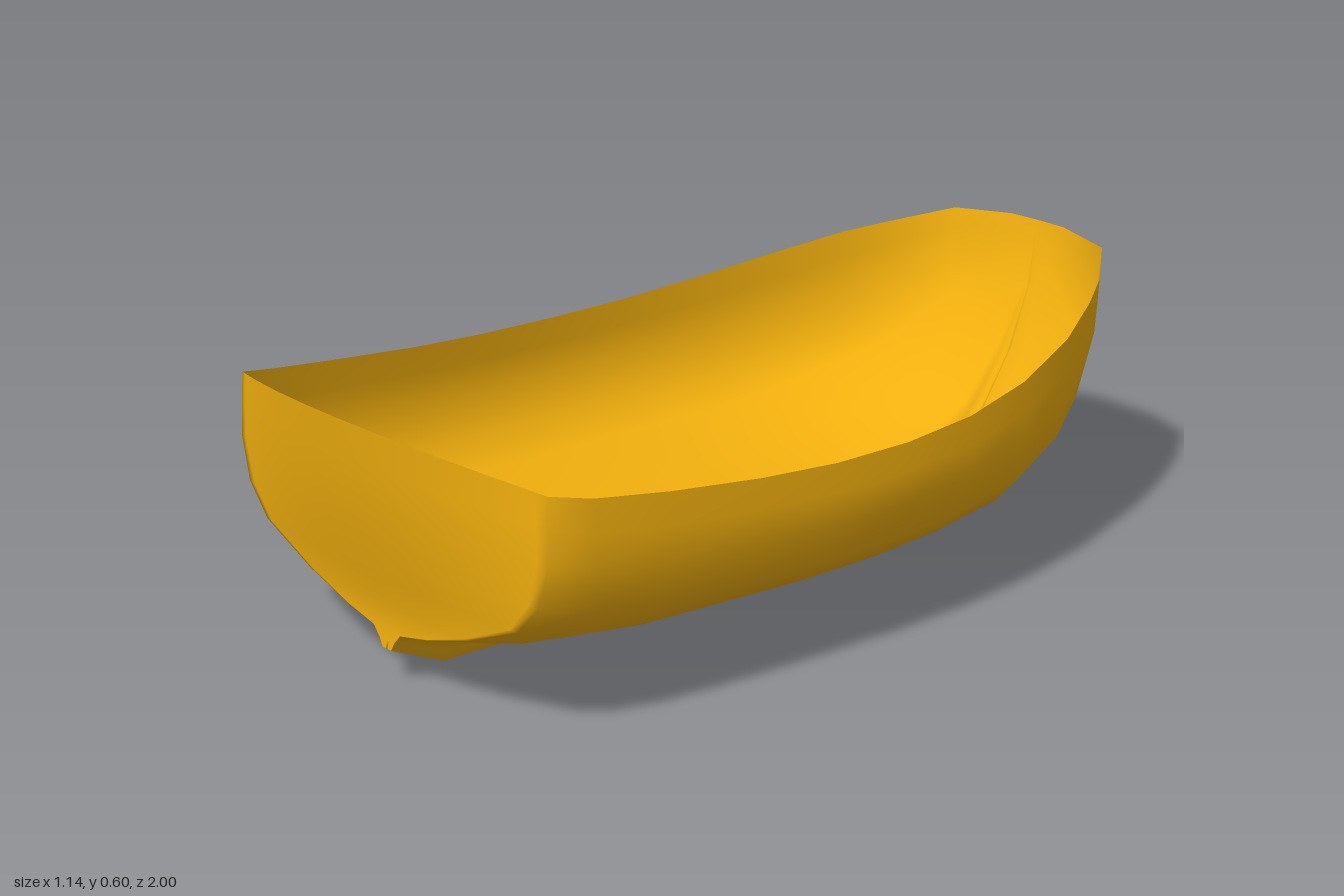
import * as THREE from 'three';
import { mergeVertices } from 'three/addons/utils/BufferGeometryUtils.js';

// Stations, stern to bow: rim z, half beam, rim y, keel z, keel y, keel depth
const STATIONS = [
  [0.89, 0.495, 0.54, 0.91, 0.08, 0.04],
  [0.80, 0.52, 0.52, 0.78, 0.02, 0.06],
  [0.62, 0.54, 0.495, 0.62, 0.015, 0.05],
  [0.40, 0.555, 0.47, 0.40, 0.02, 0.045],
  [0.20, 0.565, 0.455, 0.20, 0.025, 0.035],
  [0.00, 0.565, 0.45, 0.00, 0.022, 0.035],
  [-0.20, 0.55, 0.455, -0.20, 0.015, 0.04],
  [-0.40, 0.515, 0.475, -0.43, 0.003, 0.055],
  [-0.60, 0.455, 0.51, -0.60, 0.04, 0.055],
  [-0.75, 0.385, 0.545, -0.72, 0.10, 0.045],
  [-0.85, 0.325, 0.565, -0.80, 0.16, 0.04],
  [-0.965, 0.23, 0.595, -0.90, 0.30, 0.03],
  [-1.00, 0.08, 0.605, -0.97, 0.45, 0.015],
  [-1.00, 0.00, 0.606, -1.00, 0.605, 0.00],
];

// Half section, rim down to keel: fraction of half beam, fraction of hull height
const HULL = [[1, 1], [1.007, 0.84], [1.01, 0.67], [0.955, 0.45], [0.83, 0.29], [0.53, 0.14], [0.27, 0.045], [0.09, 0]];
// Keel below the hull: fraction of half beam, fraction of keel depth
const KEEL = [[0.05, 0.45], [0.03, 0], [0, 0]];

// One full section from the left rim, under the keel, to the right rim
function section([zr, beam, yr, zk, yk, depth]) {
  const y0 = yk + depth;
  const half = [
    ...HULL.map(([a, b]) => [a * beam, y0 + (yr - y0) * b]),
    ...KEEL.map(([a, b]) => [a * beam, yk + depth * b]),
  ].map(([x, y]) => new THREE.Vector3(x, y, zk + (zr - zk) * (y - yk) / (yr - yk)));
  const mirrored = half.slice(0, -1).reverse().map((p) => new THREE.Vector3(-p.x, p.y, p.z));
  return [...half, ...mirrored];
}

// Transom row: the stern section drawn in to the centre line, with a bulge aft
function transomRow(stern, k) {
  const [, beam, yr, , yk] = STATIONS[0];
  return stern.map((p) => {
    const x = p.x * k;
    const h = (p.y - yk) / (yr - yk);
    const bulge = (p.x * p.x - x * x) / (beam * beam);
    return new THREE.Vector3(x, p.y + 0.05 * bulge * h * h, p.z + 0.11 * bulge * h);
  });
}

function loft(rows) {
  const n = rows[0].length;
  const index = [];
  for (let j = 0; j < rows.length - 1; j++) {
    for (let i = 0; i < n - 1; i++) {
      const p = j * n + i;
      index.push(p, p + 1, p + n, p + 1, p + n + 1, p + n);
    }
  }
  const geometry = new THREE.BufferGeometry().setFromPoints(rows.flat());
  geometry.setIndex(index);
  const merged = mergeVertices(geometry, 1e-4);
  merged.computeVertexNormals();
  return merged;
}

export function createModel() {
  const group = new THREE.Group();
  group.name = 'boat';
  const material = new THREE.MeshStandardMaterial({ color: 0xf2b00e, side: THREE.DoubleSide });

  // Open shell: transom, bottom, keel and bow in one smooth skin
  const sections = STATIONS.map(section);
  const transom = [0, 0.25, 0.5, 0.75, 0.95].map((k) => transomRow(sections[0], k));
  const hull = new THREE.Mesh(loft([...transom, ...sections]), material);
  hull.name = 'hull';
  group.add(hull);
  return group;
}
